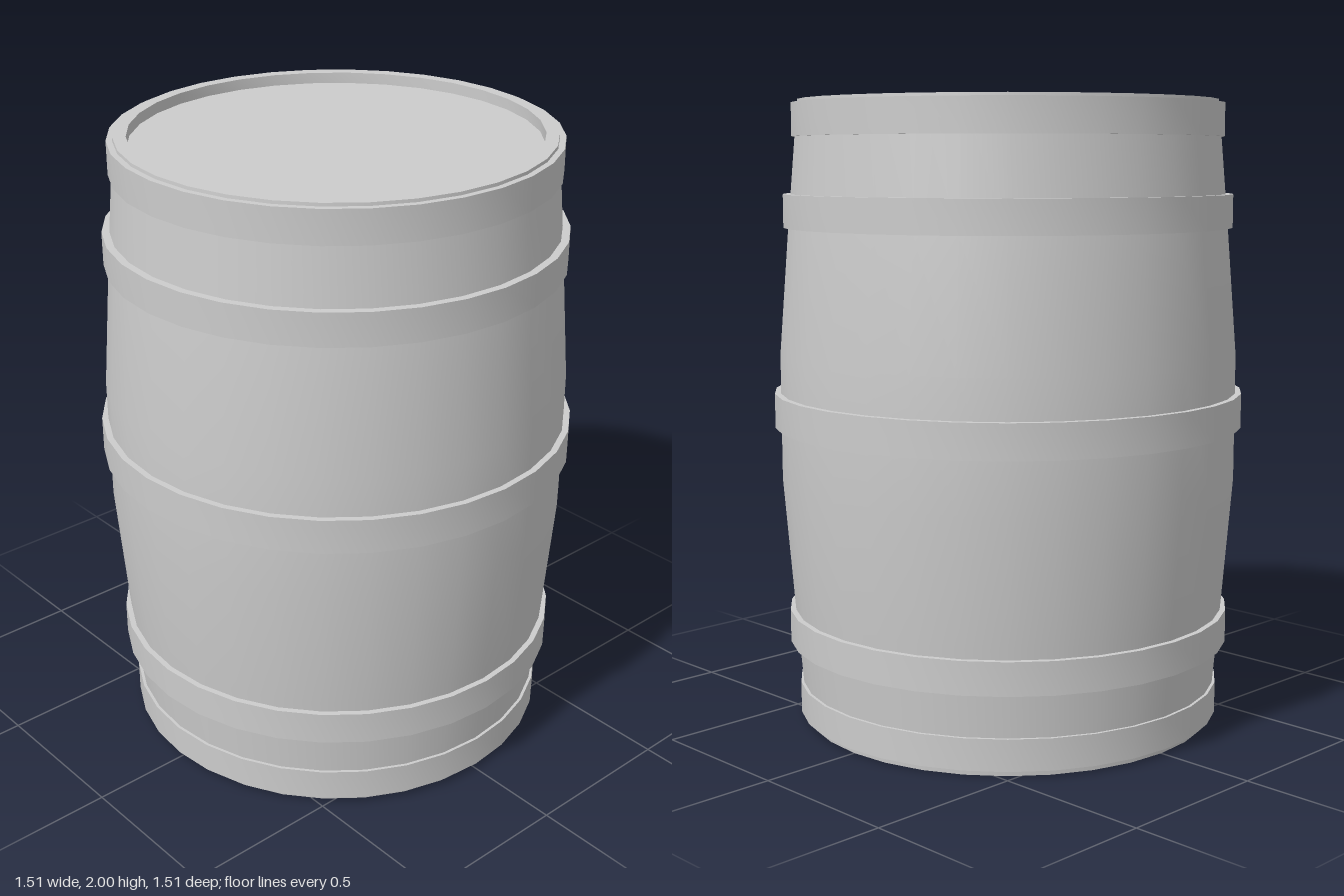
import * as THREE from 'three';
import { toCreasedNormals } from 'three/addons/utils/BufferGeometryUtils.js';

const SIDES = 32;
const material = new THREE.MeshStandardMaterial({ color: 0xcccccc });

// Revolves a profile of [radius, y] pairs, smooth around and sharp at the rims
function turned(name, profile) {
  const points = profile.map(([r, y]) => new THREE.Vector2(r, y));
  const geometry = toCreasedNormals(new THREE.LatheGeometry(points, SIDES), Math.PI / 6);
  const mesh = new THREE.Mesh(geometry, material);
  mesh.name = name;
  return mesh;
}

export function createModel() {
  const barrel = new THREE.Group();
  barrel.name = 'barrel';

  // Bulging staves with a rim and a recessed head at both ends
  const recess = 0.035;
  barrel.add(turned('body', [
    [0, recess], [0.63, recess], [0.63, 0], [0.67, 0],
    [0.705, 0.4], [0.737, 0.8], [0.737, 1.2], [0.705, 1.6],
    [0.67, 2], [0.63, 2], [0.63, 2 - recess], [0, 2 - recess],
  ]));

  // Straight metal hoops: name, bottom, top, outer radius
  const hoops = [
    ['bottomHoop', 0.02, 0.12, 0.69],
    ['lowerHoop', 0.26, 0.365, 0.72],
    ['middleHoop', 0.965, 1.075, 0.757],
    ['upperHoop', 1.6, 1.705, 0.72],
    ['topHoop', 1.885, 1.99, 0.69],
  ];
  for (const [name, y0, y1, r] of hoops) {
    const inner = r - 0.05;
    barrel.add(turned(name, [[inner, y0], [r, y0], [r, y1], [inner, y1]]));
  }

  return barrel;
}
